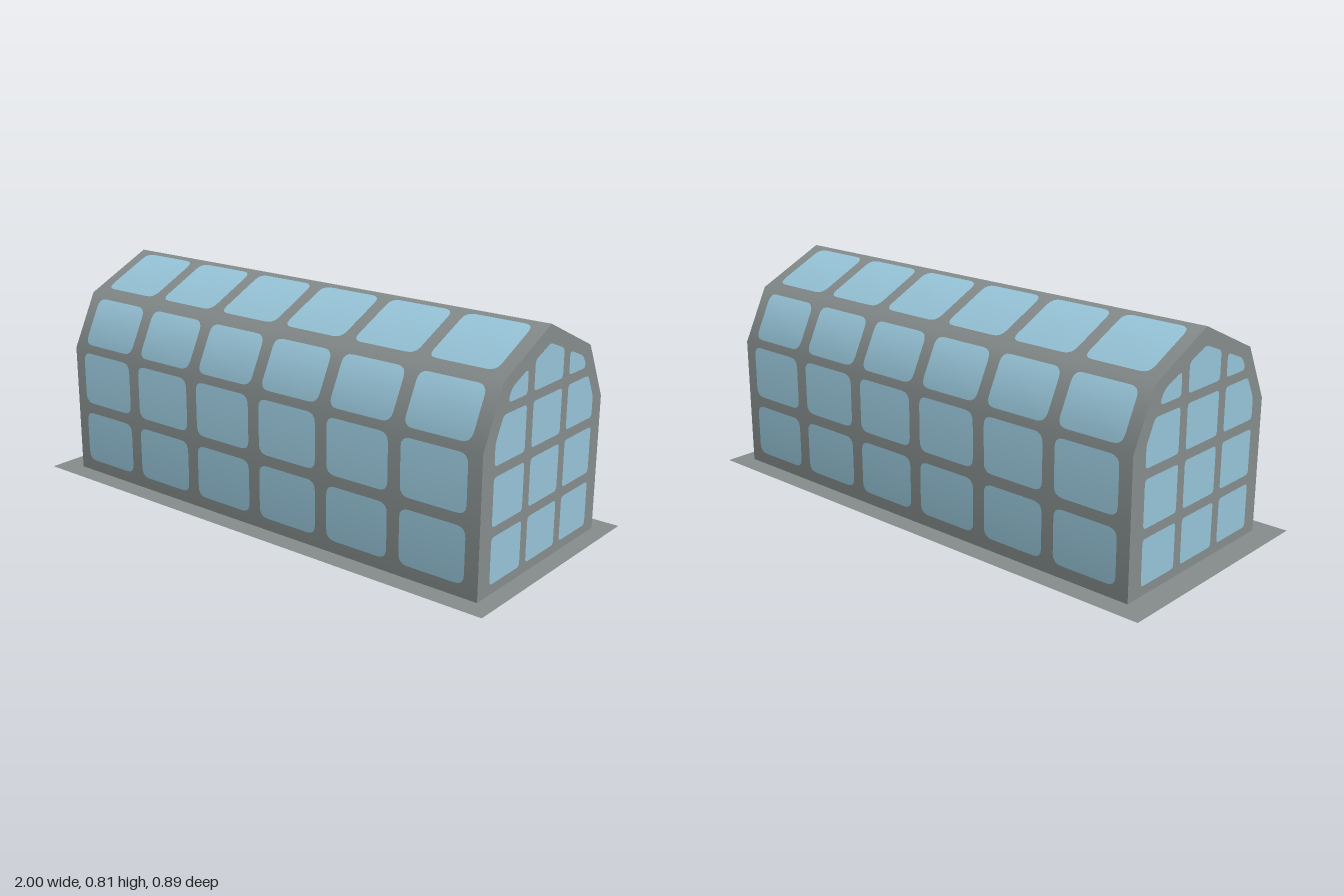
import * as THREE from 'three';
import { mergeGeometries } from 'three/addons/utils/BufferGeometryUtils.js';

// Gable outline as [z, y], front foot over the ridge to the back foot
const PROFILE = [
  [0.37, 0], [0.37, 0.49], [0.27, 0.69], [0, 0.815],
  [-0.27, 0.69], [-0.37, 0.49], [-0.37, 0],
].map(([z, y]) => new THREE.Vector2(z, y));
const X0 = -0.908, X1 = 0.935, LIFT = 0.002;

// Polygon with rounded corners
function roundedShape(points, r) {
  const pts = points.map(([x, y]) => new THREE.Vector2(x, y));
  const shape = new THREE.Shape();
  pts.forEach((p, i) => {
    const prev = pts[(i + pts.length - 1) % pts.length];
    const next = pts[(i + 1) % pts.length];
    const toward = (q) => p.clone().lerp(q, Math.min(0.45, r / p.distanceTo(q)));
    const a = toward(prev), b = toward(next);
    if (i === 0) shape.moveTo(a.x, a.y); else shape.lineTo(a.x, a.y);
    shape.quadraticCurveTo(p.x, p.y, b.x, b.y);
  });
  shape.closePath();
  return shape;
}

const rect = (x0, y0, x1, y1) => [[x0, y0], [x1, y0], [x1, y1], [x0, y1]];

// Smooth normals [z, y] along the profile
const edgeNormal = (i) => {
  const d = PROFILE[i + 1].clone().sub(PROFILE[i]).normalize();
  return new THREE.Vector2(d.y, -d.x);
};
const NORMALS = PROFILE.map((_, i) => {
  const n = new THREE.Vector2();
  if (i > 0) n.add(edgeNormal(i - 1));
  if (i < PROFILE.length - 1) n.add(edgeNormal(i));
  return n.normalize();
});

// Lays a flat geometry (x, distance along the facet) onto facet i
function onFacet(geometry, i, lift) {
  const p = geometry.attributes.position, n = geometry.attributes.normal;
  const length = PROFILE[i].distanceTo(PROFILE[i + 1]);
  const out = edgeNormal(i);
  for (let k = 0; k < p.count; k++) {
    const t = p.getY(k) / length;
    const q = PROFILE[i].clone().lerp(PROFILE[i + 1], t).addScaledVector(out, lift);
    const m = NORMALS[i].clone().lerp(NORMALS[i + 1], t).normalize();
    p.setXYZ(k, p.getX(k), q.y, q.x);
    n.setXYZ(k, 0, m.y, m.x);
  }
  return geometry;
}

export function createModel() {
  const frameMaterial = new THREE.MeshStandardMaterial({ color: 0x868e8d });
  frameMaterial.name = 'grey frame';
  const glassMaterial = new THREE.MeshStandardMaterial({ color: 0x98c6da });
  glassMaterial.name = 'pale blue glass';
  const baseMaterial = frameMaterial.clone();
  baseMaterial.name = 'grey base';
  baseMaterial.side = THREE.DoubleSide;

  const model = new THREE.Group();
  model.name = 'greenhouse';
  const add = (name, geometry, material, parent = model) => {
    const mesh = new THREE.Mesh(geometry, material);
    mesh.name = name;
    parent.add(mesh);
    return mesh;
  };

  // Ground slab
  add('base', new THREE.PlaneGeometry(2, 0.89).rotateX(-Math.PI / 2), baseMaterial);

  // Long walls and roof, with rows of panes given as spans along each facet
  const rows = [[[0.045, 0.24], [0.28, 0.48]], [[0.022, 0.206]], [[0.038, 0.275]]];
  const shell = [], panes = [];
  for (let i = 0; i < 6; i++) {
    const length = PROFILE[i].distanceTo(PROFILE[i + 1]);
    const full = new THREE.ShapeGeometry(new THREE.Shape(
      rect(X0, 0, X1, length).map(([x, y]) => new THREE.Vector2(x, y))));
    shell.push(onFacet(full, i, 0));
    for (const [a, b] of rows[Math.min(i, 5 - i)]) {
      const [s0, s1] = i < 3 ? [a, b] : [length - b, length - a];
      for (let c = 0; c < 6; c++) {
        const x = -0.86 + c * 0.299;
        const pane = new THREE.ShapeGeometry(roundedShape(rect(x, s0, x + 0.25, s1), 0.035), 4);
        panes.push(onFacet(pane, i, LIFT));
      }
    }
  }
  add('wallsAndRoof', mergeGeometries(shell), frameMaterial);
  add('sidePanes', mergeGeometries(panes), glassMaterial);

  // Gable panes: centre column, plus an outer column that is mirrored
  const outer = [
    rect(0.128, 0.035, 0.306, 0.196),
    rect(0.128, 0.23, 0.306, 0.395),
    [[0.13, 0.43], [0.306, 0.43], [0.306, 0.505], [0.265, 0.585], [0.13, 0.585]],
    [[0.13, 0.618], [0.238, 0.618], [0.238, 0.638], [0.218, 0.665], [0.145, 0.695], [0.13, 0.695]],
  ];
  const centre = [
    rect(-0.09, 0.035, 0.09, 0.196),
    rect(-0.09, 0.23, 0.09, 0.395),
    rect(-0.09, 0.43, 0.09, 0.585),
    [[-0.09, 0.618], [0.09, 0.618], [0.09, 0.718], [0, 0.754], [-0.09, 0.718]],
  ];
  const mirrored = outer.map((pts) => pts.map(([x, y]) => [-x, y]).reverse());
  const gableShapes = [...outer, ...centre, ...mirrored].map((pts) => roundedShape(pts, 0.015));

  // End walls
  for (const [name, x, turn] of [['leftEnd', X1, 1], ['rightEnd', X0, -1]]) {
    const end = new THREE.Group();
    end.name = name;
    end.position.x = x;
    end.rotation.y = turn * Math.PI / 2;
    add(name + 'Wall', new THREE.ShapeGeometry(new THREE.Shape(PROFILE)), frameMaterial, end);
    add(name + 'Panes', new THREE.ShapeGeometry(gableShapes, 4), glassMaterial, end).position.z = LIFT;
    model.add(end);
  }
  return model;
}
